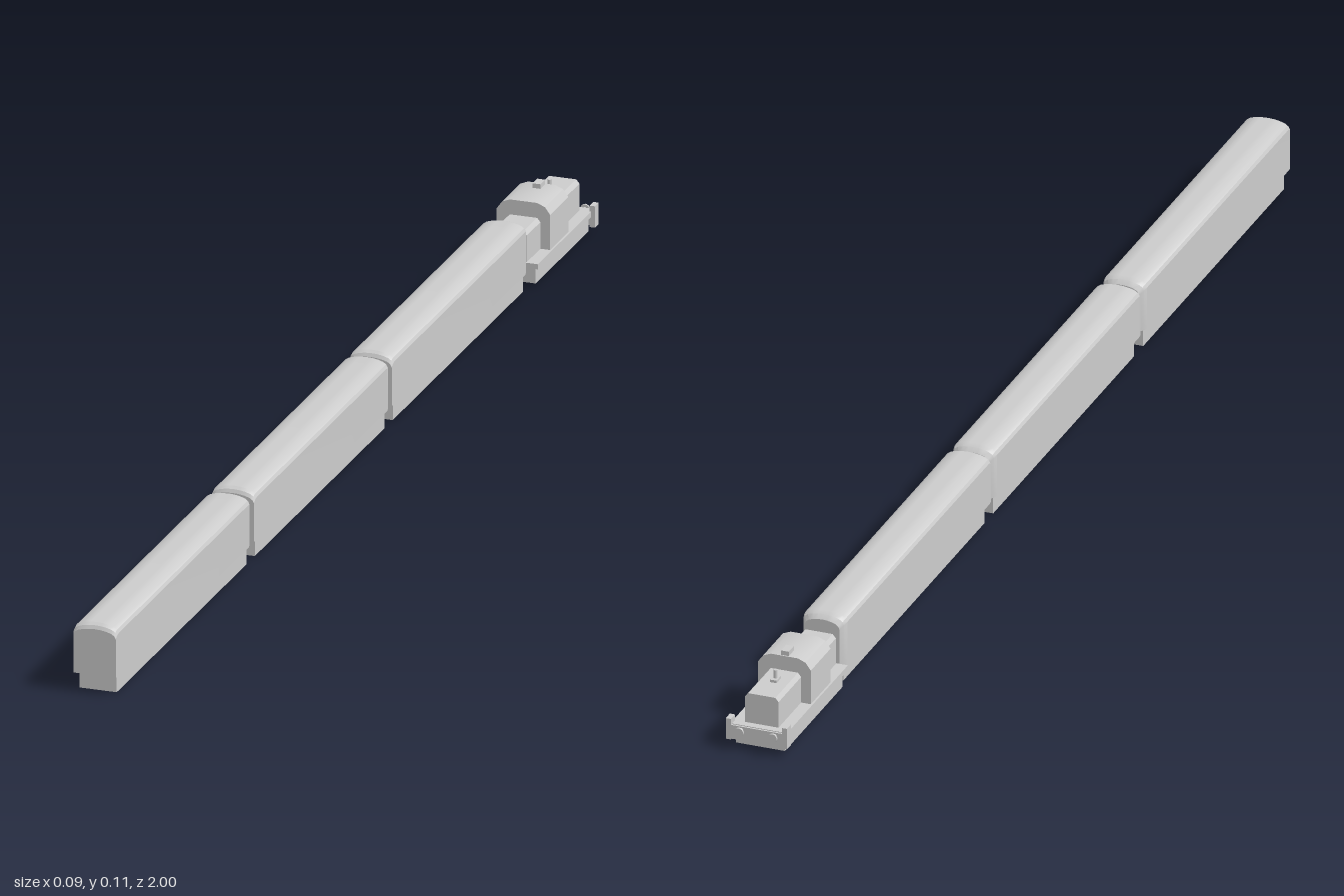
import * as THREE from 'three';
import { toCreasedNormals } from 'three/addons/utils/BufferGeometryUtils.js';

const grey = new THREE.MeshStandardMaterial({ color: 0xcccccc, side: THREE.DoubleSide });
const CX = -0.002; // train centreline

function add(parent, name, geometry, x = 0, y = 0, z = 0) {
  const mesh = new THREE.Mesh(geometry, grey);
  mesh.name = name;
  mesh.position.set(x, y, z);
  parent.add(mesh);
  return mesh;
}

// Box given by its limits
function box(parent, name, w, y0, y1, z0, z1, x = CX) {
  return add(parent, name, new THREE.BoxGeometry(w, y1 - y0, z1 - z0), x, (y0 + y1) / 2, (z0 + z1) / 2);
}

// Skirt: box without a floor, so the underside is hollow
function hollowBox(parent, name, w, y0, y1, z0, z1) {
  const g = new THREE.BoxGeometry(w, y1 - y0, z1 - z0).toNonIndexed();
  const trimmed = new THREE.BufferGeometry();
  for (const key of ['position', 'normal']) {
    const a = Array.from(g.attributes[key].array);
    a.splice(18 * 3, 18); // bottom face
    trimmed.setAttribute(key, new THREE.Float32BufferAttribute(a, 3));
  }
  return add(parent, name, trimmed, CX, (y0 + y1) / 2, (z0 + z1) / 2);
}

// Joins matching convex rings, ordered front (+z) to back, and caps both ends
function loft(rings) {
  const p = [], n = rings[0].length;
  const tri = (a, b, c) => p.push(...a, ...b, ...c);
  for (let r = 0; r < rings.length - 1; r++) {
    for (let i = 0; i < n; i++) {
      const j = (i + 1) % n, A = rings[r], B = rings[r + 1];
      tri(A[i], B[i], A[j]);
      tri(A[j], B[i], B[j]);
    }
  }
  const first = rings[0], last = rings[rings.length - 1];
  for (let i = 1; i < n - 1; i++) {
    tri(first[0], first[i], first[i + 1]);
    tri(last[0], last[i + 1], last[i]);
  }
  const g = new THREE.BufferGeometry();
  g.setAttribute('position', new THREE.Float32BufferAttribute(p, 3));
  return toCreasedNormals(g, 0.45);
}

// Coach section, counter-clockwise seen from the front
function coachRing(z, sx, drop) {
  const half = [[0.0335, 0.028], [0.0335, 0.094], [0.031, 0.099], [0.026, 0.1025], [0.018, 0.105], [0.009, 0.1065]];
  const pts = [...half, [0, 0.107], ...half.map(([x, y]) => [-x, y]).reverse()];
  return pts.map(([x, y]) => [x * sx, y - drop * (y - 0.028) / 0.079, z]);
}

function coach(front, back) {
  const group = new THREE.Group();
  group.name = 'coach';
  add(group, 'coachBody', loft([
    coachRing(front, 0.97, 0.008),
    coachRing(front - 0.003, 0.99, 0.003),
    coachRing(front - 0.009, 1, 0),
    coachRing(back + 0.014, 1, 0),
    coachRing(back + 0.006, 0.94, 0.003),
    coachRing(back, 0.8, 0.009),
  ]), CX);
  hollowBox(group, 'coachSkirt', 0.057, 0, 0.029, back + 0.011, front - 0.015);
  return group;
}

// Prism with sloped upper edges: half profile mirrored and run along z
function prism(half, z0, z1) {
  const pts = [...half, ...half.map(([x, y]) => [-x, y]).reverse()];
  return loft([z1, z0].map((z) => pts.map(([x, y]) => [x, y, z])));
}

function locomotive() {
  const group = new THREE.Group();
  group.name = 'locomotive';

  // Chassis
  hollowBox(group, 'chassisSkirt', 0.076, 0.004, 0.03, -0.98, -0.757);
  box(group, 'footplate', 0.088, 0.029, 0.037, -0.987, -0.75);

  // Hoods and cab
  const hood = [[0.026, 0.036], [0.026, 0.078], [0.021, 0.084]];
  add(group, 'longHood', prism(hood, -0.975, -0.885), CX);
  add(group, 'shortHood', prism(hood, -0.812, -0.752), CX);
  add(group, 'cab', prism([[0.041, 0.036], [0.041, 0.091], [0.033, 0.102], [0.021, 0.107]], -0.887, -0.81), CX);

  // Roof fittings
  box(group, 'roofVent', 0.012, 0.105, 0.114, -0.885, -0.865);
  box(group, 'exhaustBase', 0.01, 0.083, 0.088, -0.93, -0.912);
  add(group, 'exhaustPipe', new THREE.CylinderGeometry(0.003, 0.003, 0.018, 10), CX, 0.092, -0.921);

  // End beam with side plates and round bumpers
  box(group, 'endBeam', 0.092, 0.014, 0.036, -0.99, -0.98, 0);
  for (const s of [-1, 1]) {
    box(group, 'beamEndPlate', 0.008, 0.013, 0.046, -0.991, -0.975, s * 0.0435);
    const stem = add(group, 'bumperStem', new THREE.CylinderGeometry(0.003, 0.003, 0.011, 10), CX + s * 0.026, 0.031, -0.993);
    const head = add(group, 'bumperHead', new THREE.CylinderGeometry(0.007, 0.007, 0.003, 14), CX + s * 0.026, 0.031, -0.9985);
    stem.rotation.x = head.rotation.x = Math.PI / 2;
  }
  return group;
}

export function createModel() {
  const train = new THREE.Group();
  train.name = 'train';
  for (const [front, back] of [[1, 0.427], [0.417, -0.157], [-0.165, -0.74]]) train.add(coach(front, back));
  train.add(locomotive());
  return train;
}
